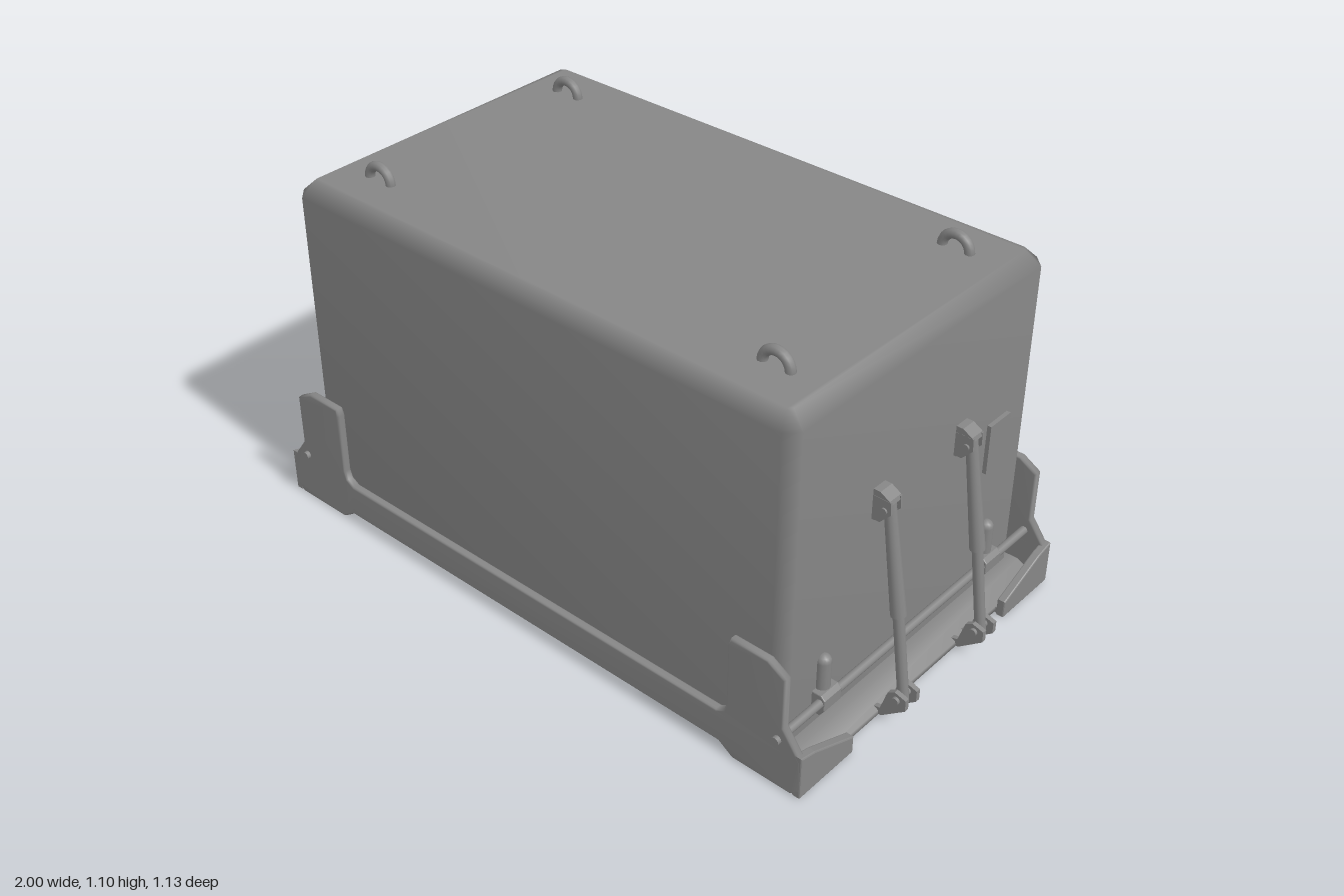
import * as THREE from 'three';
import { mergeVertices } from 'three/addons/utils/BufferGeometryUtils.js';

const material = new THREE.MeshStandardMaterial({ color: 0x868686 });

function add(parent, name, geometry, x = 0, y = 0, z = 0) {
  const mesh = new THREE.Mesh(geometry, material);
  mesh.name = name;
  mesh.position.set(x, y, z);
  parent.add(mesh);
  return mesh;
}

const box = (w, h, d) => new THREE.BoxGeometry(w, h, d);

// Round bar between two points, with optional taper
function bar(parent, name, a, b, r0, r1 = r0, sides = 12) {
  const from = new THREE.Vector3(...a), to = new THREE.Vector3(...b);
  const dir = to.clone().sub(from);
  const mesh = add(parent, name, new THREE.CylinderGeometry(r1, r0, dir.length(), sides));
  mesh.position.copy(from).add(to).multiplyScalar(0.5);
  mesh.quaternion.setFromUnitVectors(new THREE.Vector3(0, 1, 0), dir.normalize());
  return mesh;
}

// Outline in x,y extruded along z and centred on it
function plate(points, depth, bevel = 0, bevelSegments = 2) {
  const shape = new THREE.Shape(points.map(p => new THREE.Vector2(...p)));
  const geometry = new THREE.ExtrudeGeometry(shape, {
    depth: depth - 2 * bevel, bevelEnabled: bevel > 0, bevelSize: bevel,
    bevelOffset: -bevel, bevelThickness: bevel, bevelSegments,
  });
  return geometry.translate(0, 0, bevel - depth / 2);
}

// Area-weighted smooth normals: flat faces with soft chamfers
function soften(geometry) {
  geometry.deleteAttribute('uv');
  geometry.deleteAttribute('normal');
  const merged = mergeVertices(geometry, 1e-4);
  merged.computeVertexNormals();
  return merged;
}

// Main box: rectangle with cut corners, extruded upwards with a chamfer
function body(root) {
  const w = 0.85, d = 0.517, c = 0.035;
  const outline = [
    [w, d - c], [w - c, d], [c - w, d], [-w, d - c],
    [-w, c - d], [c - w, -d], [w - c, -d], [w, c - d],
  ];
  const geometry = plate(outline, 1.015, 0.04, 1).rotateX(-Math.PI / 2);
  add(root, 'body', soften(geometry), 0, 0.5375, -0.002);
}

// Long side: low rail with a raised wing at each end
function sideFrame(root, sign) {
  const half = [
    [0.69, 0.03], [0.735, 0], [0.92, 0], [0.95, 0.025], [0.945, 0.12], [0.89, 0.195],
    [0.89, 0.35], [0.835, 0.382], [0.72, 0.382], [0.713, 0.36], [0.713, 0.17],
    [0.705, 0.145], [0.68, 0.13],
  ];
  const mirrored = half.map(([x, y]) => [-x, y]).reverse();
  const geometry = soften(plate([...half, ...mirrored], 0.025, 0.006));
  add(root, 'sideFrame', geometry, 0, 0, sign * 0.5425);
}

// Telescopic strut with its wall bracket and foot clevis
function strut(end, z) {
  const group = new THREE.Group();
  group.name = 'strut';
  group.position.z = z;
  end.add(group);
  const top = [0.883, 0.655, 0], middle = [0.936, 0.33, 0], foot = [0.972, 0.08, 0];
  bar(group, 'strutSleeve', middle, top, 0.021, 0.016);
  bar(group, 'strutRod', foot, middle, 0.015);

  add(group, 'bracketBase', box(0.012, 0.09, 0.046), 0.853, 0.643);
  add(group, 'bracketCap', plate(
    [[0.85, 0.66], [0.902, 0.66], [0.898, 0.672], [0.87, 0.688], [0.85, 0.688]], 0.046));
  bar(group, 'upperPin', [0.885, 0.64, -0.029], [0.885, 0.64, 0.029], 0.009);
  bar(group, 'lowerPin', [0.972, 0.09, -0.04], [0.972, 0.09, 0.04], 0.011);
  const upperLug = [[0.85, 0.6], [0.873, 0.6], [0.905, 0.635], [0.902, 0.67], [0.85, 0.67]];
  const footLug = [
    [0.88, 0.012], [0.93, 0.012], [1, 0.068], [1, 0.102], [0.965, 0.112],
    [0.945, 0.1], [0.925, 0.035], [0.88, 0.025],
  ];
  for (const s of [-1, 1]) {
    add(group, 'bracketLug', plate(upperLug, 0.007), 0, 0, s * 0.02);
    add(group, 'clevisLug', plate(footLug, 0.014), 0, 0, s * 0.024);
  }
}

// Rod clamp with a rounded upright tab
function clamp(end, z) {
  add(end, 'rodClamp', plate(
    [[0.845, 0.115], [0.875, 0.115], [0.89, 0.135], [0.89, 0.168], [0.878, 0.18], [0.845, 0.18]],
    0.07, 0.003), 0, 0, z);
  add(end, 'clampTab', new THREE.CapsuleGeometry(0.021, 0.085, 4, 12), 0.855, 0.218, z);
}

// Everything on one short side, built facing +x
function endAssembly(root, strutZ, clampZ, panelZ) {
  const end = new THREE.Group();
  end.name = 'endAssembly';
  root.add(end);

  // Floor beam with a sloped lip
  add(end, 'endBeam', soften(plate(
    [[0.72, 0.032], [0.735, 0.002], [0.905, 0.002], [0.922, 0.01], [0.92, 0.024], [0.87, 0.05], [0.83, 0.05]],
    1.07)));
  // Corner gussets, outlined in -z,y
  const gusset = [[0.34, 0.003], [0.5545, 0.003], [0.5545, 0.135], [0.5, 0.122], [0.34, 0.055]];
  for (const s of [-1, 1]) {
    const outline = gusset.map(([z, y]) => [-s * z, y]);
    const geometry = plate(outline, 0.025, 0.004).rotateY(Math.PI / 2);
    add(end, 'cornerGusset', geometry, 0.9375);
    add(end, 'cornerFloor', box(0.06, 0.018, 0.2), 0.905, 0.012, s * 0.445);
  }

  bar(end, 'crossRod', [0.875, 0.155, -0.567], [0.875, 0.155, 0.567], 0.012);
  strutZ.forEach(z => strut(end, z));
  clampZ.forEach(z => clamp(end, z));
  add(end, 'accessPanel', box(0.016, 0.15, 0.09), 0.854, 0.535, panelZ);
  return end;
}

export function createModel() {
  const root = new THREE.Group();
  root.name = 'container';
  body(root);

  // Lifting eyes on the roof
  for (const x of [-0.675, 0.675]) for (const z of [-0.358, 0.358])
    add(root, 'liftingEye', new THREE.TorusGeometry(0.041, 0.014, 10, 24), x, 1.045, z);

  for (const s of [-1, 1]) sideFrame(root, s);

  endAssembly(root, [0.165, -0.182], [0.355, -0.355], -0.355);
  endAssembly(root, [0.144, -0.134], [0.385, -0.385], 0.355).rotation.y = Math.PI;
  return root;
}
